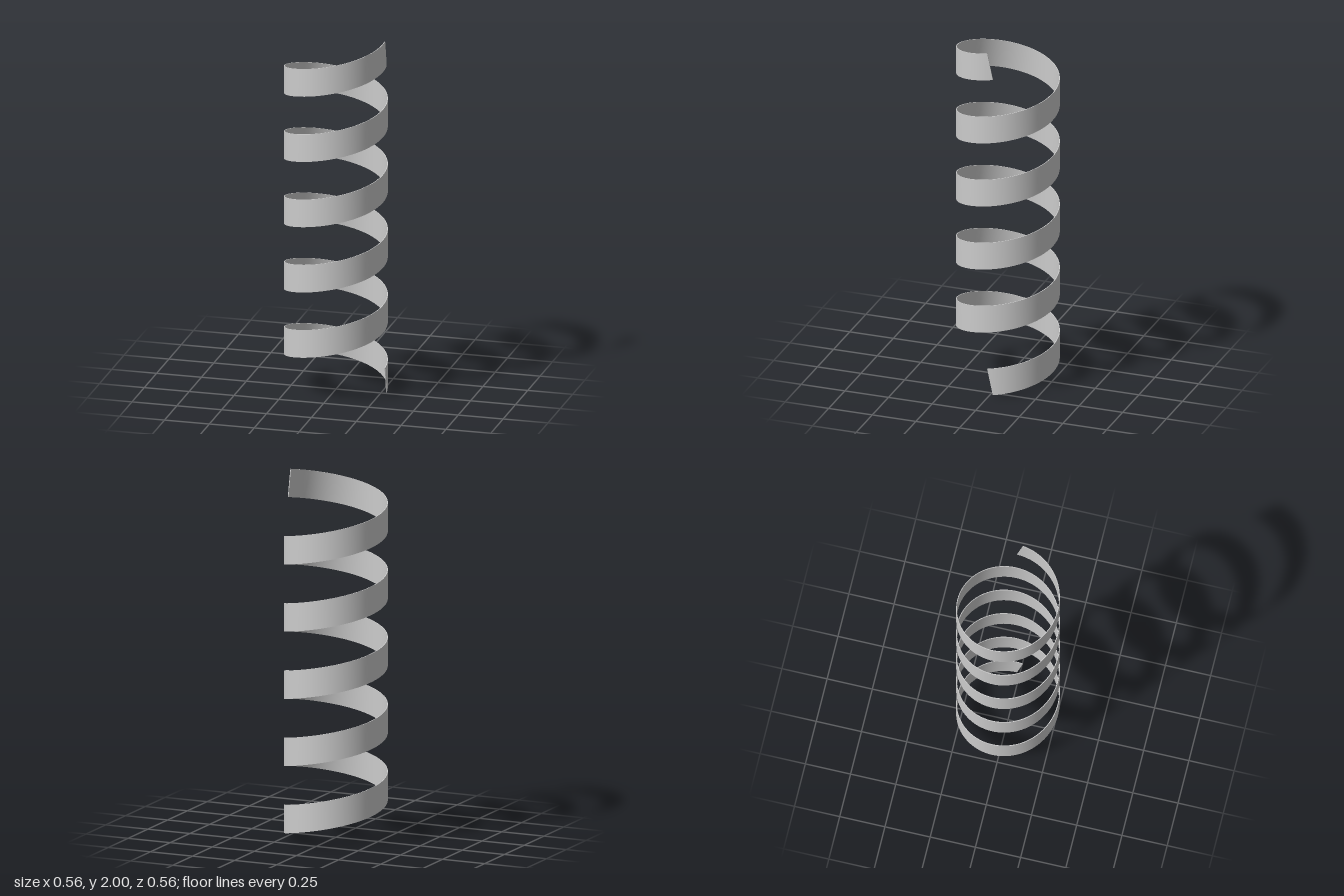
import * as THREE from 'three';

const TURNS = 5, PITCH = 0.37, RADIUS = 0.277, WIDTH = 0.153, THICKNESS = 0.004;

// Wraps a long thin box into a helical ribbon, with its ends cut square to the slope
function helicalRibbon() {
  const sweep = TURNS * Math.PI * 2;
  const slope = Math.atan(PITCH / (Math.PI * 2 * RADIUS));
  const geometry = new THREE.BoxGeometry(THICKNESS, WIDTH, sweep, 1, 2, TURNS * 72);
  const pos = geometry.attributes.position;
  const base = (WIDTH / 2) * Math.cos(slope);
  for (let i = 0; i < pos.count; i++) {
    const across = pos.getY(i);
    const along = sweep / 2 - pos.getZ(i);
    const r = RADIUS + pos.getX(i);
    const angle = along - (across * Math.sin(slope)) / RADIUS;
    const y = base + (along / (Math.PI * 2)) * PITCH + across * Math.cos(slope);
    pos.setXYZ(i, r * Math.cos(angle), y, -r * Math.sin(angle));
  }
  geometry.computeVertexNormals();
  return geometry;
}

export function createModel() {
  const model = new THREE.Group();
  model.name = 'spiral';
  const material = new THREE.MeshStandardMaterial({ color: 0xcccccc, side: THREE.DoubleSide });
  const ribbon = new THREE.Mesh(helicalRibbon(), material);
  ribbon.name = 'helicalRibbon';
  model.add(ribbon);
  return model;
}
